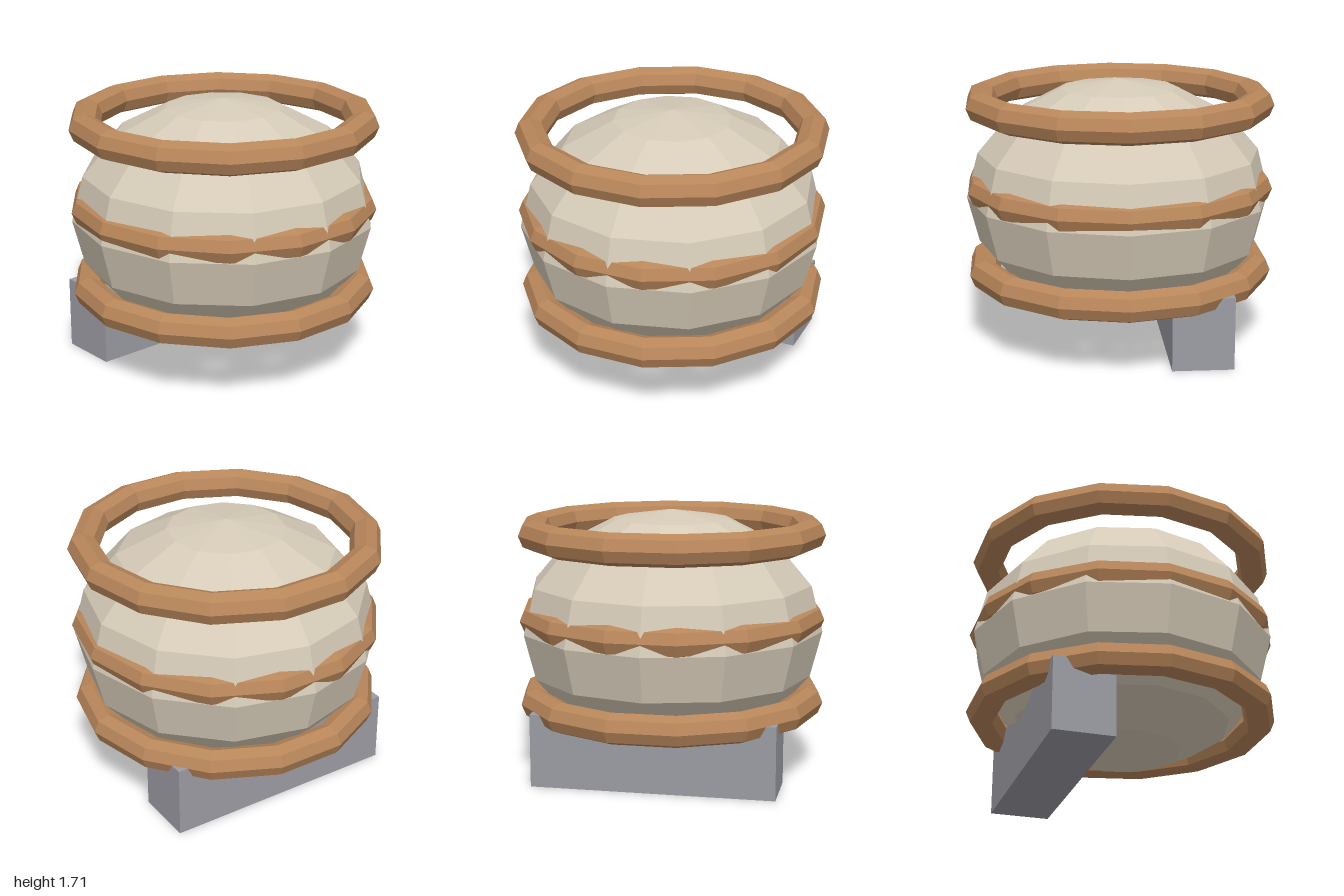
import * as THREE from 'three';

const material = (color) => new THREE.MeshStandardMaterial({ color, flatShading: true });

export function createModel() {
  const model = new THREE.Group();
  const add = (name, geometry, mat, x, y, z) => {
    const mesh = new THREE.Mesh(geometry, mat);
    mesh.name = name;
    mesh.position.set(x, y, z);
    model.add(mesh);
    return mesh;
  };

  // Squashed low-poly body
  const body = add('body', new THREE.SphereGeometry(0.99, 12, 8), material(0xd6cbb8), 0, 0.94, 0);
  body.scale.y = 0.77 / 0.99;

  // Three evenly spaced hoops around the body
  const hoop = new THREE.TorusGeometry(0.9, 0.1, 8, 14).rotateX(Math.PI / 2);
  const wood = material(0xb8865a);
  ['lowerHoop', 'middleHoop', 'upperHoop'].forEach((name, i) => {
    add(name, hoop, wood, 0, 0.47 + i * 0.5475, 0);
  });

  // Support block under the back
  add('supportBlock', new THREE.BoxGeometry(1.56, 0.47, 0.39), material(0x9c9ca4), 0, 0.235, -0.47);

  return model;
}
